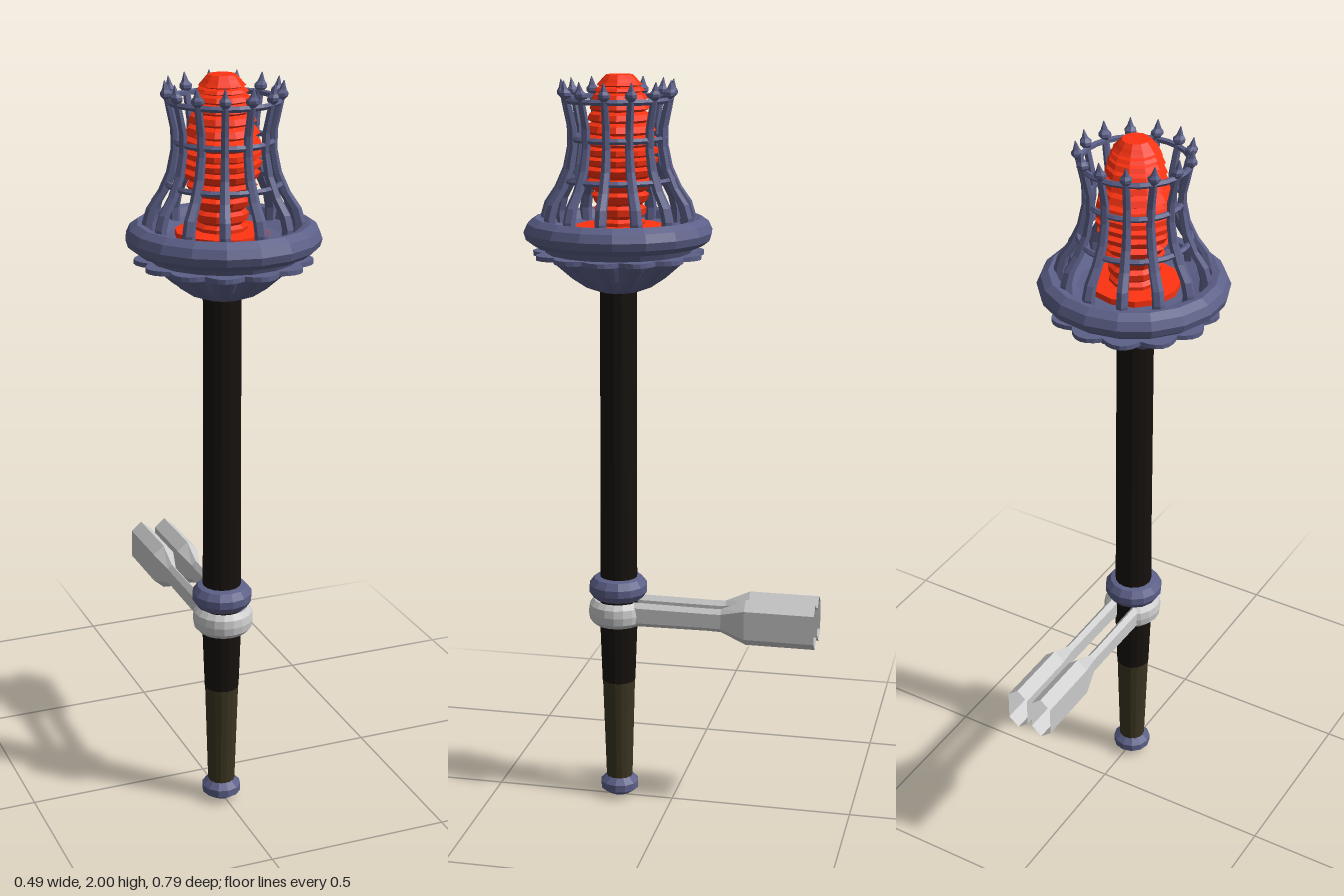
import * as THREE from 'three';

const mat = (color, side = THREE.FrontSide) =>
  new THREE.MeshStandardMaterial({ color, flatShading: true, side });
const iron = mat(0x5c6088);
const ironOpen = mat(0x5c6088, THREE.DoubleSide);
const ember = mat(0xff3311);
const wood = mat(0x16110d);
const leather = mat(0x3a3420);
const steel = mat(0xcccccc, THREE.DoubleSide);

function mesh(name, geometry, material, parent) {
  const m = new THREE.Mesh(geometry, material);
  m.name = name;
  parent.add(m);
  return m;
}

// Lathe from [radius, y] pairs, running bottom to top
const lathe = (pts, sides, start = 0, sweep = Math.PI * 2) =>
  new THREE.LatheGeometry(pts.map(([r, y]) => new THREE.Vector2(r, y)), sides, start, sweep);

// Skin over a list of closed cross-sections, each an array of [x, y, z]
function loft(rings, capEnd = false) {
  const n = rings[0].length, index = [];
  for (let i = 0; i < rings.length - 1; i++) {
    for (let j = 0; j < n; j++) {
      const a = i * n + j, b = i * n + (j + 1) % n;
      index.push(a, b, b + n, a, b + n, a + n);
    }
  }
  const last = (rings.length - 1) * n;
  if (capEnd) for (let j = 1; j < n - 1; j++) index.push(last, last + j, last + j + 1);
  const g = new THREE.BufferGeometry();
  g.setAttribute('position', new THREE.Float32BufferAttribute(rings.flat(2), 3));
  g.setIndex(index);
  g.computeVertexNormals();
  return g;
}

// Horizontal section whose radius may vary with the angle
function section(cx, y, radius, n) {
  return Array.from({ length: n }, (_, j) => {
    const a = (j / n) * Math.PI * 2;
    const r = typeof radius === 'function' ? radius(a) : radius;
    return [cx + r * Math.cos(a), y, -r * Math.sin(a)];
  });
}

function buildHandle(root) {
  const handle = new THREE.Group();
  handle.name = 'handle';
  handle.position.set(-0.005, 0, 0.152);
  root.add(handle);
  mesh('pommel', lathe([[0, 0.005], [0.03, 0.012], [0.053, 0.028], [0.053, 0.048],
    [0.035, 0.066], [0, 0.07]], 12), iron, handle);
  mesh('grip', lathe([[0.036, 0.05], [0.039, 0.15], [0.045, 0.35]], 16), leather, handle);
  const shaft = mesh('shaft', lathe([[0.046, 0.35], [0.052, 0.52], [0.05, 0.8], [0.049, 1.46]], 16),
    wood, handle);
  // The shaft leans back very slightly
  const p = shaft.geometry.attributes.position;
  for (let i = 0; i < p.count; i++) p.setZ(i, p.getZ(i) - 0.006 * (p.getY(i) - 0.35));
  shaft.geometry.computeVertexNormals();
  mesh('collar', lathe([[0.05, 0.588], [0.068, 0.592], [0.08, 0.61], [0.08, 0.63],
    [0.066, 0.648], [0.05, 0.652]], 14), iron, handle);
}

function buildBracket(root) {
  const bracket = new THREE.Group();
  bracket.name = 'wallBracket';
  bracket.position.set(-0.002, 0, 0.152);
  root.add(bracket);
  // Clamp band, open towards the back
  const gap = 0.5;
  mesh('clamp', lathe([[0.054, 0.525], [0.066, 0.519], [0.078, 0.532], [0.081, 0.553],
    [0.078, 0.574], [0.066, 0.588], [0.054, 0.582], [0.054, 0.525]],
  16, -Math.PI + gap, 2 * (Math.PI - gap)), steel, bracket);

  // Hollow six-sided arms that widen at the far end: [z, half width, half height]
  const spans = [[-0.05, 0.013, 0.034], [-0.26, 0.012, 0.032], [-0.295, 0.012, 0.033],
    [-0.362, 0.029, 0.064], [-0.551, 0.029, 0.064]];
  for (const s of [-1, 1]) {
    const rings = spans.map(([z, w, h]) =>
      [[0, h], [w, h * 0.62], [w, -h * 0.62], [0, -h], [-w, -h * 0.62], [-w, h * 0.62]]
        .map(([x, y]) => [s * 0.036 + x, 0.556 + y, z]));
    mesh(s > 0 ? 'leftArm' : 'rightArm', loft(rings), steel, bracket);
  }
}

function buildHead(root) {
  const head = new THREE.Group();
  head.name = 'head';
  head.position.set(-0.001, 0, 0.143);
  root.add(head);
  const COUNT = 13;

  // Fluted bowl: the petals deepen towards the rim
  const petals = (r, depth) => (a) => r - depth + depth * Math.abs(Math.cos(a * COUNT / 2));
  const bowl = [[0.055, 1.442, 0.004], [0.09, 1.455, 0.012], [0.13, 1.482, 0.022],
    [0.168, 1.515, 0.028], [0.19, 1.537, 0.03]]
    .map(([r, y, d]) => section(0, y, petals(r, d), COUNT * 6));
  mesh('flutedBowl', loft(bowl, true), ironOpen, head);
  mesh('bowlNeck', lathe([[0, 1.44], [0.056, 1.443], [0.05, 1.46]], 16), iron, head);

  // Thin scalloped plate above the bowl
  const plate = [[0.15, 1.534], [0.226, 1.534], [0.226, 1.546], [0.15, 1.546]]
    .map(([r, y]) => section(0, y, petals(r, r > 0.2 ? 0.025 : 0), COUNT * 6));
  mesh('scallopedPlate', loft(plate), iron, head);
  mesh('plateNeck', lathe([[0.19, 1.545], [0.205, 1.575]], 18), ironOpen, head);

  // Heavy rim with a dished floor inside
  mesh('rim', lathe([[0.19, 1.572], [0.222, 1.565], [0.242, 1.58], [0.248, 1.6], [0.238, 1.622],
    [0.218, 1.636], [0.198, 1.632], [0.19, 1.61], [0.145, 1.598], [0, 1.598]], 18), iron, head);

  // Cage bars: [radius from the axis, y, thickness]
  const barLine = [[0.186, 1.595, 0.016], [0.188, 1.64, 0.016], [0.178, 1.675, 0.0155],
    [0.152, 1.715, 0.014], [0.131, 1.765, 0.0125], [0.121, 1.82, 0.011],
    [0.122, 1.87, 0.0105], [0.132, 1.915, 0.01], [0.14, 1.95, 0.009]];
  const barGeo = loft(barLine.map(([r, y, t]) => section(r, y, t, 6)), true);
  const tipLine = [[0.139, 1.94, 0.007], [0.14, 1.95, 0.016], [0.141, 1.958, 0.016],
    [0.143, 1.966, 0.009], [0.146, 1.988, 0.001]];
  const tipGeo = loft(tipLine.map(([r, y, t]) => section(r, y, t, 6)), true);
  for (let i = 0; i < COUNT; i++) {
    const bar = new THREE.Group();
    bar.name = 'cageBar' + (i + 1);
    bar.rotation.y = (i / COUNT) * Math.PI * 2;
    mesh('bar', barGeo, iron, bar);
    mesh('spearTip', tipGeo, iron, bar);
    head.add(bar);
  }

  // Hoops tying the bars together
  for (const [r, y] of [[0.142, 1.735], [0.121, 1.84], [0.137, 1.938]]) {
    const hoop = mesh('cageHoop', new THREE.TorusGeometry(r, 0.008, 5, 26), iron, head);
    hoop.rotation.x = Math.PI / 2;
    hoop.position.y = y;
  }

  // Glowing core: stepped layers over a flat bed
  const fire = new THREE.Group();
  fire.name = 'fire';
  fire.position.set(-0.004, 0, -0.004);
  head.add(fire);
  mesh('emberBed', lathe([[0.118, 1.596], [0.118, 1.614], [0, 1.62]], 12), ember, fire);
  const outline = new THREE.CatmullRomCurve3([[0.062, 1.6], [0.068, 1.68], [0.092, 1.76],
    [0.096, 1.82], [0.08, 1.89], [0.066, 1.95], [0.05, 1.985]]
    .map(([r, y]) => new THREE.Vector3(r, y, 0)));
  const layers = 14, profile = [];
  for (let i = 0; i < layers; i++) {
    const a = outline.getPoint(i / layers), b = outline.getPoint((i + 1) / layers);
    const h = b.y - a.y;
    profile.push([a.x * 0.87, a.y], [a.x * 1.04, a.y + h * 0.25], [b.x * 1.04, a.y + h * 0.75]);
  }
  profile.push([0.045, 1.99], [0.035, 2], [0, 2]);
  mesh('fireCore', lathe(profile, 11), ember, fire);
}

export function createModel() {
  const root = new THREE.Group();
  root.name = 'wallTorch';
  buildHandle(root);
  buildBracket(root);
  buildHead(root);
  return root;
}
